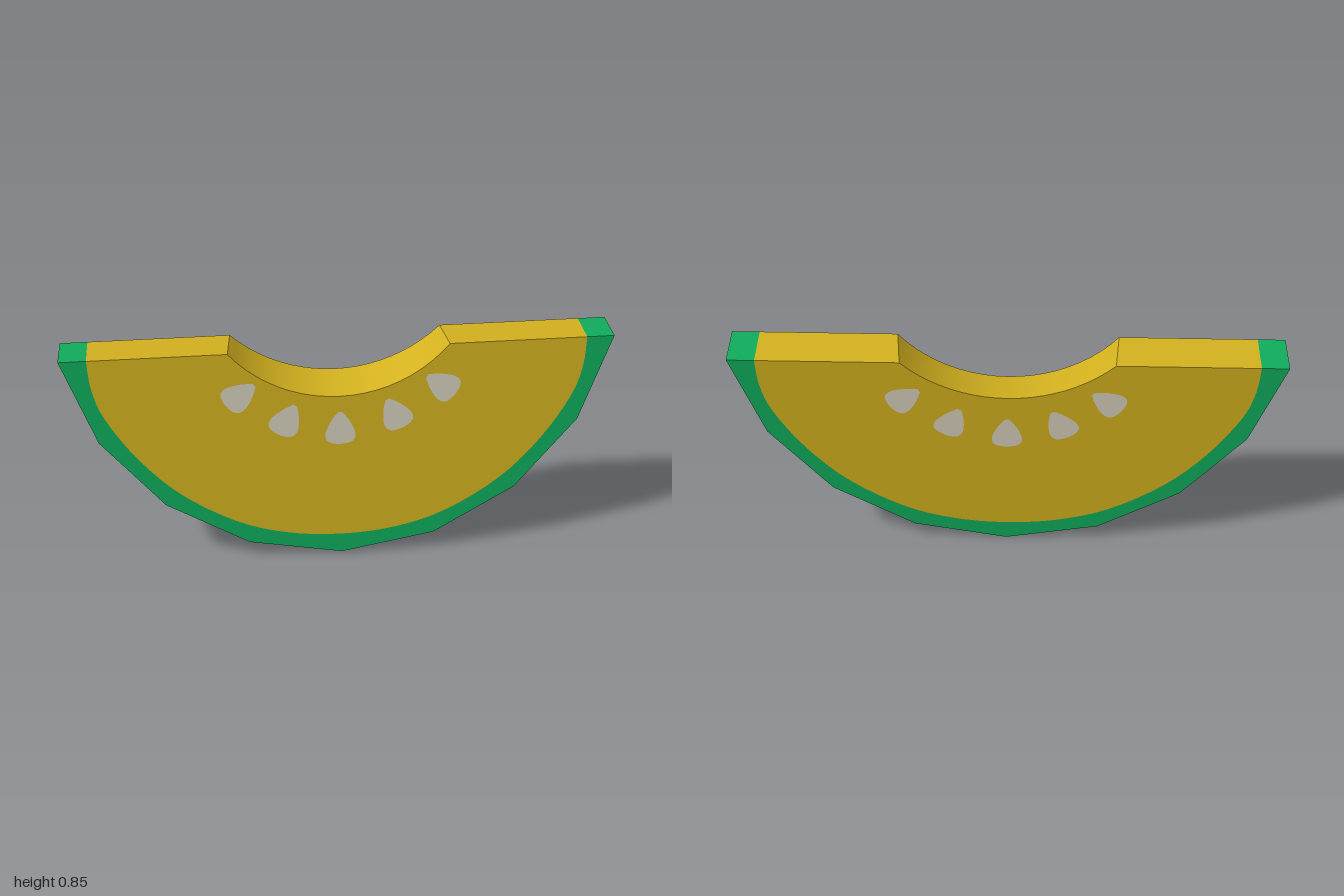
import * as THREE from 'three';

const HALF = 0.085; // half of the slice thickness
const TOP = 0.843; // height of the cut edge

const mat = (name, color, side = THREE.FrontSide) => {
  const m = new THREE.MeshStandardMaterial({ color, side });
  m.name = name;
  return m;
};
const v2 = (x, y) => new THREE.Vector2(x, y);

// Mirrors the right half of a curve (bottom to top), giving left top -> bottom -> right top
const mirrored = (half) => [
  ...half.slice(1).reverse().map(([x, y]) => v2(-x, y)),
  ...half.map(([x, y]) => v2(x, y)),
];

// Circular bite from right corner, through the lowest point, to left corner
function biteArc(halfWidth, low, n = 20) {
  const sag = TOP - low;
  const r = (halfWidth * halfWidth + sag * sag) / (2 * sag);
  const a = Math.asin(halfWidth / r);
  return Array.from({ length: n + 1 }, (_, i) => {
    const t = a - (2 * a * i) / n;
    return v2(r * Math.sin(t), low + r - r * Math.cos(t));
  });
}

// Smooth wall joining a front contour to a back contour
function wall(front, back) {
  const pos = [];
  const index = [];
  front.forEach((p, i) => {
    pos.push(p.x, p.y, HALF, back[i].x, back[i].y, -HALF);
    if (i > 0) {
      const f0 = 2 * i - 2, b0 = f0 + 1, f1 = f0 + 2, b1 = f0 + 3;
      index.push(f0, b0, f1, f1, b0, b1);
    }
  });
  const g = new THREE.BufferGeometry();
  g.setAttribute('position', new THREE.Float32BufferAttribute(pos, 3));
  g.setIndex(index);
  g.computeVertexNormals();
  return g;
}

export function createModel() {
  const rind = mat('rind green', 0x10ad5c);
  const flesh = mat('flesh yellow', 0xd4b21e);
  const seedMat = mat('seed cream', 0xd6d0bc);

  const slice = new THREE.Group();
  slice.name = 'melonSlice';
  const add = (name, geometry, material) => {
    const mesh = new THREE.Mesh(geometry, material);
    mesh.name = name;
    slice.add(mesh);
    return mesh;
  };
  // Flat face turned to the front (+1) or back (-1)
  const face = (name, points, material, sign, offset = 0) => {
    const pts = points.map((p) => v2(p.x * sign, p.y));
    const mesh = add(name, new THREE.ShapeGeometry(new THREE.Shape(pts)), material);
    mesh.position.z = sign * (HALF + offset);
    if (sign < 0) mesh.rotation.y = Math.PI;
  };

  // Faceted outer edge, smooth border of the flesh, bites of both sides
  const outer = mirrored([[0, 0.005], [0.347, 0.068], [0.65, 0.245], [0.878, 0.515], [1, TOP]]);
  const border = new THREE.SplineCurve(mirrored([
    [0, 0.082], [0.2, 0.1], [0.39, 0.16], [0.59, 0.285],
    [0.74, 0.44], [0.85, 0.61], [0.89, 0.73], [0.9, TOP],
  ])).getPoints(56);
  const biteFront = biteArc(0.4, 0.655);
  const biteBack = biteArc(0.385, 0.688);

  // Outer skin and its two cut ends
  add('rindSkin', wall(outer, outer), rind);
  for (const s of [1, -1]) {
    const end = s > 0 ? [v2(1, TOP), v2(0.9, TOP)] : [v2(-0.9, TOP), v2(-1, TOP)];
    add('rindEnd', wall(end, end), rind);
    const cut = (w) => (s > 0 ? [v2(0.9, TOP), v2(w, TOP)] : [v2(-w, TOP), v2(-0.9, TOP)]);
    add('fleshCut', wall(cut(0.4), cut(0.385)), flesh);
  }
  add('biteWall', wall(biteFront, biteBack), flesh);

  // Teardrop seed outline with its tip up
  const drop = new THREE.SplineCurve([
    v2(0.008, 0.066), v2(0.034, 0.03), v2(0.055, -0.02), v2(0.045, -0.053), v2(0, -0.064),
    v2(-0.045, -0.053), v2(-0.055, -0.02), v2(-0.034, 0.03), v2(-0.008, 0.066),
  ]).getPoints(32);
  // x, y, lean of each seed
  const seeds = [
    [-0.362, 0.678, -0.95], [-0.195, 0.57, -0.5], [0, 0.527, 0],
    [0.202, 0.575, 0.45], [0.372, 0.682, 0.95],
  ];

  // Both broad faces with their seeds
  for (const sign of [1, -1]) {
    face('fleshFace', [...border, ...(sign > 0 ? biteFront : biteBack)], flesh, sign);
    face('rindFace', [...outer, ...[...border].reverse()], rind, sign);
    for (const [x, y, lean] of seeds) {
      const pts = drop.map((p) => p.clone().rotateAround(v2(0, 0), lean).add(v2(x, y)));
      face('seed', pts, seedMat, sign, 0.003);
    }
  }

  // Slice leans back slightly
  slice.rotation.set(-0.059, -0.0135, 0.0075);
  slice.position.set(0.004, 0, 0.03);

  const model = new THREE.Group();
  model.name = 'melon';
  model.add(slice);
  return model;
}
